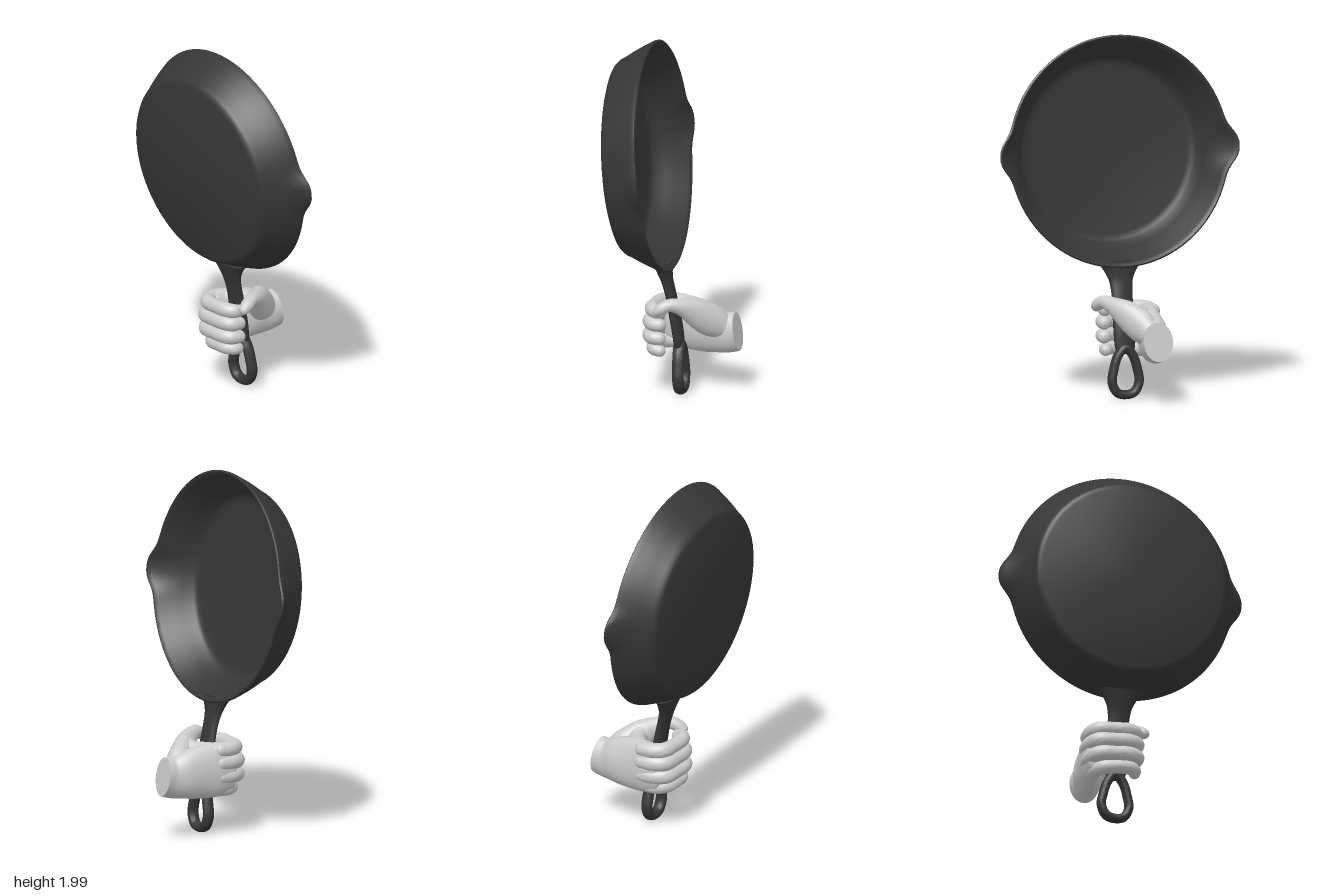
import * as THREE from 'three';
import { toCreasedNormals } from 'three/addons/utils/BufferGeometryUtils.js';

const iron = new THREE.MeshStandardMaterial({ color: 0x363636 });
const skin = new THREE.MeshStandardMaterial({ color: 0xcccccc });

function part(name, geometry, material, crease = 0.8) {
  const mesh = new THREE.Mesh(toCreasedNormals(geometry, crease), material);
  mesh.name = name;
  return mesh;
}

// Sweeps an ellipse along stations [x, y, z, radiusAlongRef, radiusAcross].
// startCap and endCap give the roundness of each end (0 = flat).
function sweep(stations, ref, startCap = 0, endCap = 0, steps = 36, sides = 28) {
  const curveOf = (f) => new THREE.CatmullRomCurve3(stations.map(f), false, 'catmullrom', 0.5);
  const path = curveOf((s) => new THREE.Vector3(s[0], s[1], s[2]));
  const radii = curveOf((s) => new THREE.Vector3(s[3], s[4], 0));
  const rings = [];
  const CAP = 6;
  for (let k = 0; k < CAP; k++) {
    const a = (k / CAP) * Math.PI / 2;
    rings.push({ t: 0, scale: Math.sin(a), shift: -startCap * Math.cos(a) });
  }
  for (let k = 0; k <= steps; k++) rings.push({ t: k / steps, scale: 1, shift: 0 });
  for (let k = CAP - 1; k >= 0; k--) {
    const a = (k / CAP) * Math.PI / 2;
    rings.push({ t: 1, scale: Math.sin(a), shift: endCap * Math.cos(a) });
  }
  const positions = [];
  const index = [];
  rings.forEach(({ t, scale, shift }, j) => {
    const T = path.getTangent(t);
    const A = ref.clone().addScaledVector(T, -ref.dot(T)).normalize();
    const B = new THREE.Vector3().crossVectors(T, A);
    const r = radii.getPoint(t);
    const c = path.getPoint(t).addScaledVector(T, shift * Math.min(r.x, r.y));
    for (let i = 0; i < sides; i++) {
      const a = (i / sides) * Math.PI * 2;
      const p = c.clone()
        .addScaledVector(A, Math.cos(a) * r.x * scale)
        .addScaledVector(B, Math.sin(a) * r.y * scale);
      positions.push(p.x, p.y, p.z);
      if (j > 0) {
        const n = (i + 1) % sides;
        const lo = (j - 1) * sides, hi = j * sides;
        index.push(lo + i, lo + n, hi + i, lo + n, hi + n, hi + i);
      }
    }
  });
  const g = new THREE.BufferGeometry();
  g.setAttribute('position', new THREE.Float32BufferAttribute(positions, 3));
  g.setIndex(index);
  return g;
}

// Skillet bowl: a lathe whose rim is pulled out into two pouring spouts
function bowlGeometry() {
  const profile = [
    [0, 0.2], [0.46, 0.2], [0.49, 0.195], [0.508, 0.18], [0.535, 0.13], [0.57, 0.075], [0.597, 0.035],
    [0.61, 0.015], [0.62, 0.002], [0.63, -0.002], [0.638, 0.004], [0.636, 0.015], [0.627, 0.035],
    [0.609, 0.075], [0.583, 0.125], [0.552, 0.18], [0.543, 0.2], [0.53, 0.215], [0.51, 0.222], [0, 0.224],
  ].map(([r, d]) => new THREE.Vector2(r, d));
  const g = new THREE.LatheGeometry(profile, 160);
  const p = g.attributes.position;
  for (let i = 0; i < p.count; i++) {
    const x = p.getX(i), d = p.getY(i), z = p.getZ(i);
    const angle = Math.atan2(Math.abs(z), Math.abs(x));
    const r = Math.hypot(x, z);
    if (r < 0.55) continue;
    const pull = Math.exp(-Math.pow(angle / 0.155, 2.6)) * Math.exp(-Math.pow(d / 0.055, 2));
    const k = 1 + 0.058 * pull / r;
    p.setXYZ(i, x * k, d - 0.012 * pull, z * k);
  }
  g.rotateX(Math.PI / 2);
  return g;
}

function createPan() {
  const pan = new THREE.Group();
  pan.name = 'pan';
  const bowl = part('bowl', bowlGeometry(), iron);
  bowl.position.set(0, 1.365, 0.062);
  bowl.rotation.x = 0.106;

  const neck = part('handle', sweep([
    [0, 0.76, 0.06, 0.135, 0.048],
    [0, 0.72, 0.054, 0.1, 0.04],
    [0, 0.66, 0.042, 0.07, 0.03],
    [0, 0.58, 0.022, 0.06, 0.028],
    [0, 0.48, 0.002, 0.062, 0.03],
    [0, 0.38, -0.016, 0.062, 0.03],
    [0, 0.3, -0.026, 0.058, 0.028],
    [0, 0.27, -0.03, 0.045, 0.024],
  ], new THREE.Vector3(1, 0, 0), 0, 0.5), iron);

  // Teardrop hanging loop
  const right = [[0.05, 0.048], [0.078, 0.105], [0.068, 0.175], [0.043, 0.25]];
  const outline = [[0, 0.034], ...right, [0, 0.295], ...right.map(([x, y]) => [-x, y]).reverse()];
  const curve = new THREE.CatmullRomCurve3(outline.map(([x, y]) => new THREE.Vector3(x, y, 0)), true);
  const loopGeometry = new THREE.TubeGeometry(curve, 96, 0.025, 20, true);
  loopGeometry.scale(1, 1, 1.3);
  const loop = part('hangingLoop', loopGeometry, iron);
  loop.position.z = -0.042;
  loop.rotation.x = 0.04;

  pan.add(bowl, neck, loop);
  return pan;
}

function createHand() {
  const hand = new THREE.Group();
  hand.name = 'hand';
  const up = new THREE.Vector3(0, 1, 0);

  // Wrist and palm, cut flat at the wrist
  hand.add(part('palm', sweep([
    [-0.085, 0.36, -0.335, 0.108, 0.083],
    [-0.09, 0.35, -0.27, 0.116, 0.076],
    [-0.105, 0.36, -0.19, 0.137, 0.083],
    [-0.125, 0.372, -0.1, 0.15, 0.07],
    [-0.143, 0.38, -0.02, 0.152, 0.06],
    [-0.145, 0.385, 0.05, 0.14, 0.052],
  ], up, 0, 0.8), skin));

  // Four fingers wrapped round the handle: [height, knuckle x, front z, tip x, radius]
  const fingers = [
    [0.495, -0.163, 0.118, 0.085, 0.041],
    [0.423, -0.168, 0.128, 0.09, 0.043],
    [0.345, -0.163, 0.13, 0.09, 0.042],
    [0.272, -0.135, 0.112, 0.08, 0.038],
  ];
  fingers.forEach(([y, knuckle, front, tip, r], i) => {
    hand.add(part(`finger${i + 1}`, sweep([
      [knuckle, y - 0.008, -0.02, r, r],
      [knuckle, y - 0.006, 0.05, r * 1.04, r],
      [knuckle + 0.035, y - 0.004, front - 0.015, r * 1.04, r],
      [-0.045, y, front, r * 0.96, r * 0.95],
      [0.03, y + 0.004, front, r, r],
      [tip - 0.01, y + 0.002, front - 0.022, r * 0.95, r * 0.95],
      [tip, y - 0.002, 0.062, r * 0.85, r * 0.85],
    ], up, 0.8, 0.9), skin, 1.2));
  });

  // Thumb with its broad base
  hand.add(part('thumb', sweep([
    [-0.075, 0.385, -0.26, 0.07, 0.06],
    [-0.035, 0.43, -0.195, 0.09, 0.068],
    [0.025, 0.49, -0.125, 0.08, 0.058],
    [0.078, 0.53, -0.06, 0.05, 0.045],
    [0.112, 0.547, 0.0, 0.036, 0.038],
    [0.13, 0.528, 0.045, 0.034, 0.036],
    [0.134, 0.512, 0.07, 0.027, 0.029],
  ], up, 0.6, 0.8), skin, 1.2));

  // Web of skin between thumb and first finger
  hand.add(part('thumbWeb', sweep([
    [0.02, 0.485, -0.13, 0.07, 0.05],
    [-0.05, 0.475, -0.115, 0.058, 0.05],
    [-0.12, 0.475, -0.06, 0.055, 0.05],
    [-0.158, 0.48, 0.0, 0.045, 0.042],
  ], up, 0.6, 0.8), skin, 1.2));
  return hand;
}

export function createModel() {
  const model = new THREE.Group();
  model.name = 'handHoldingPan';
  model.add(createPan(), createHand());
  return model;
}
